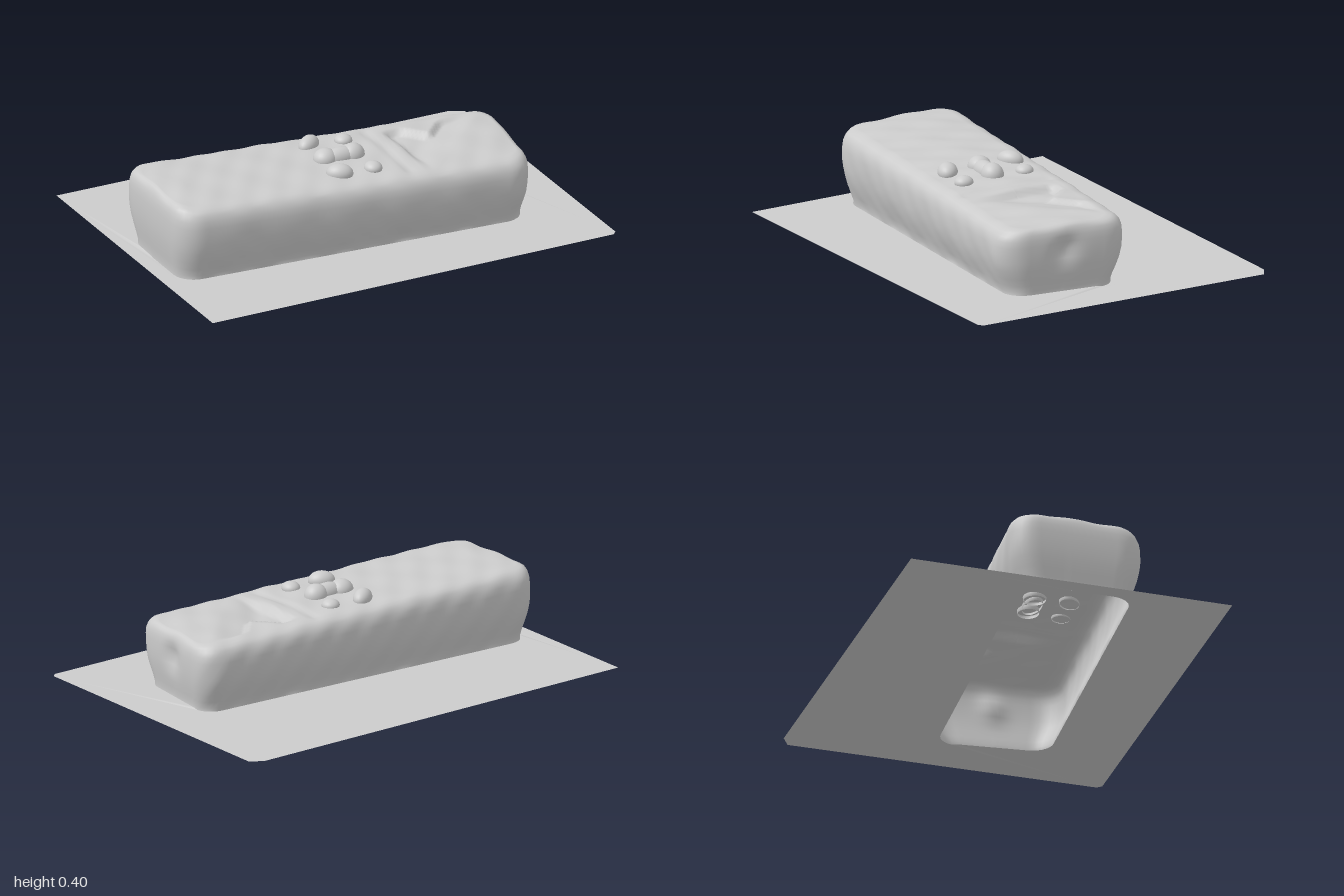
import * as THREE from 'three';

const HX = 0.86, HZ = 0.3, R = 0.11;          // half length, half width, corner radius
const CX = -0.085, CZ = 0.105, ANGLE = 0.065; // placement on the sheet
const smooth = (a, b, t) => THREE.MathUtils.smoothstep(t, a, b);

// gentle unevenness of hand-made surfaces
const ripple = (x, y, z) =>
  Math.sin(17 * x + 5 * z + 3 * y) * Math.sin(23 * z - 7 * x + 11 * y) + 0.6 * Math.sin(41 * x + 29 * z + 37 * y);

// the sheet slopes slightly down to the front
const sheetY = (x, z) => 0.018 - 0.0164 * z + (z > 0 ? 0.006 * x : 0);

// overall slope of the body's top
const topY = (x, z) => 0.345 - 0.02 * x - 0.035 * (z - 0.1);

// groove and notched hollow pressed into the top
function hollow(x, z) {
  const groove = 0.007 * Math.exp(-(((x - 0.18) / 0.018) ** 2)) * smooth(-0.14, -0.08, z) * (1 - smooth(0.32, 0.4, z));
  const edge = -0.07 + 0.11 * Math.max(0, 1 - Math.abs(x - 0.43) / 0.1);
  const fade = 1 - smooth(0.25, 0.5, x - 0.25 + z + 0.07);
  return groove + 0.03 * smooth(0.25, 0.285, x) * smooth(edge, edge + 0.035, z) * fade;
}

// rounded rectangle outline pulled in by an inset, same point count every time
function outline(inset) {
  const r = R * (1 - inset / HZ);
  const ax = HX - 0.5 * inset - r, az = HZ - inset - r;
  const signs = [[1, 1], [-1, 1], [-1, -1], [1, -1]];
  const corner = (c, a) => new THREE.Vector2(signs[c][0] * ax + r * Math.cos(a), signs[c][1] * az + r * Math.sin(a));
  const pts = [];
  for (let c = 0; c < 4; c++) {
    const a0 = c * Math.PI / 2, a1 = a0 + Math.PI / 2;
    for (let k = 0; k < 7; k++) pts.push(corner(c, a0 + (k / 7) * (a1 - a0)));
    const from = corner(c, a1), to = corner((c + 1) % 4, a1);
    const n = c % 2 ? 24 : 90;
    for (let k = 0; k < n; k++) pts.push(from.clone().lerp(to, k / n));
  }
  return pts;
}

// body coordinates to sheet coordinates, front side a little shorter
function place(p) {
  const lx = p.x * (1 - 0.07 * p.y);
  return new THREE.Vector2(
    CX + lx * Math.cos(ANGLE) - p.y * Math.sin(ANGLE),
    CZ + lx * Math.sin(ANGLE) + p.y * Math.cos(ANGLE));
}

// rings rising up the side, then closing over the top; open underneath
function bodyGeometry() {
  const rings = [[0.05, 0], [0.05, 0.05], [0.04, 0.14], [0.026, 0.25], [0.012, 0.38], [0.004, 0.5], [0, 0.62],
    [0, 0.74], [0.004, 0.83], [0.014, 0.9], [0.028, 0.945], [0.045, 0.97], [0.065, 0.985]];
  for (let i = 1; i <= 20; i++) rings.push([0.065 + 0.235 * i / 20, 0.985 + 0.025 * Math.sin(i / 20 * Math.PI / 2)]);
  const pos = [], idx = [];
  let n = 0;
  rings.forEach(([inset, f], j) => {
    const pts = outline(inset);
    n = pts.length;
    pts.forEach((p, i) => {
      const w = place(p);
      const base = sheetY(w.x, w.y);
      let y = base + f * (topY(w.x, w.y) - base);
      if (j > 0) {
        const k = 0.0025 * ripple(w.x, y, w.y);
        if (j > 9) y += k - hollow(w.x, w.y) * smooth(9, 14, j);
        else {
          // sides ripple in and out, the right end has a dent
          w.y += Math.sign(p.y) * k;
          if (p.x > 0.8) w.x -= 0.025 * Math.exp(-((p.y / 0.06) ** 2) - (((y - 0.21) / 0.05) ** 2));
        }
      }
      pos.push(w.x, y, w.y);
      if (j < rings.length - 1) {
        const a = j * n + i, b = j * n + (i + 1) % n;
        idx.push(a, a + n, b, b, a + n, b + n);
      }
    });
  });
  const g = new THREE.BufferGeometry();
  g.setAttribute('position', new THREE.Float32BufferAttribute(pos, 3));
  g.setIndex(idx);
  g.computeVertexNormals();
  return g;
}

// thin sheet with clipped right corners and an opening under the body
function sheetGeometry() {
  const s = new THREE.Shape([[-1, -0.73], [0.98, -0.73], [1, -0.71], [1, 0.7], [0.94, 0.735], [-1, 0.735]]
    .map(([x, y]) => new THREE.Vector2(x, y)));
  s.holes.push(new THREE.Path(outline(0.05).map(place).map(p => new THREE.Vector2(p.x, -p.y))));
  const g = new THREE.ShapeGeometry(s).rotateX(-Math.PI / 2);
  const p = g.attributes.position;
  for (let i = 0; i < p.count; i++) p.setY(i, sheetY(p.getX(i), p.getZ(i)));
  g.computeVertexNormals();
  return g;
}

export function createModel() {
  const model = new THREE.Group();
  const material = new THREE.MeshStandardMaterial({ color: 0xcccccc, side: THREE.DoubleSide });
  const add = (name, geometry, parent = model) => {
    const mesh = new THREE.Mesh(geometry, material);
    mesh.name = name;
    parent.add(mesh);
    return mesh;
  };

  add('groundSheet', sheetGeometry());
  add('body', bodyGeometry());

  // lumpy buttons: x, z, half length, half width, height, turn
  const buttons = new THREE.Group();
  buttons.name = 'buttons';
  model.add(buttons);
  [
    [-0.11, -0.06, 0.062, 0.04, 0.042, 0.6],
    [0.05, -0.04, 0.04, 0.04, 0.028, 0],
    [-0.11, 0.095, 0.055, 0.052, 0.047, 0],
    [-0.04, 0.105, 0.085, 0.043, 0.045, 0],
    [0.02, 0.105, 0.055, 0.05, 0.053, 0],
    [-0.12, 0.25, 0.06, 0.045, 0.042, -0.5],
    [0.04, 0.26, 0.04, 0.043, 0.03, 0],
  ].forEach(([x, z, a, b, h, turn]) => {
    const dome = add('button', new THREE.SphereGeometry(1, 24, 10, 0, Math.PI * 2, 0, Math.PI * 0.6), buttons);
    dome.scale.set(a, h, b);
    dome.rotation.y = turn;
    dome.position.set(x, topY(x, z) + 0.003, z);
  });
  return model;
}
